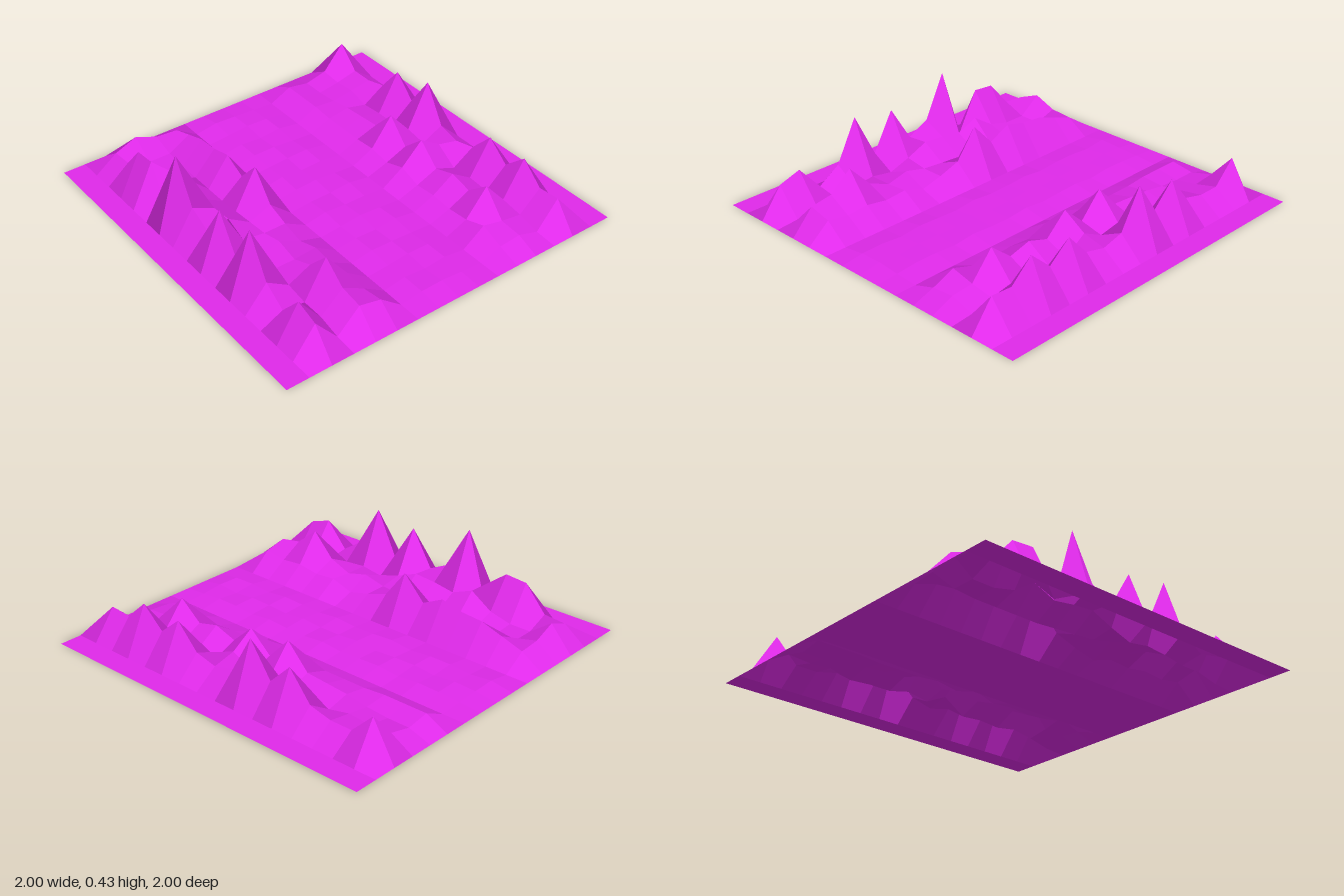
import * as THREE from 'three';

// Ridge heights in hundredths, for the 15 inner grid points from x = -0.875 to 0.875
const ridges = {
  '-0.75': [21, 9, 9, 12, 27, 15, 33, 12, 9, 12, 25, 15, 26, 15, 16],
  '-0.625': [7, 6, 7, 4, 5, 5, 8, 6, 12, 4, 5, 4, 6, 4, 1],
  '-0.5': [4, 4, 5, 7, 8, 9, 22, 9, 20, 9, 13, 10, 20, 6, 5],
  '-0.375': [6, 6, 6, 5, 5, 5, 6, 4, 8, 4, 5, 4, 5, 9, 4],
  '0.375': [8, 12, 16, 17, 20, 14, 27, 11, 7, 4, 8, 7, 9, 8, 10],
  '0.5': [9, 5, 4, 4, 4, 4, 5, 6, 7, 10, 7, 12, 25, 15, 13],
  '0.625': [14, 5, 5, 8, 16, 11, 13, 14, 9, 5, 7, 6, 4, 4, 1],
  '0.75': [9, 10, 24, 25, 3, 43, 19, 13, 33, 12, 37, 14, 6, 20, 16],
};

// Mountain rows rise from the flat border; the valley between is gently uneven
function heightAt(x, z) {
  if (Math.abs(x) > 0.99) return 0;
  const col = Math.round((x + 0.875) * 8);
  const row = ridges[String(Math.round(z * 8) / 8)];
  if (row) return row[col] / 100;
  if (Math.abs(z) < 0.2) return 0.015 + 0.007 * Math.sin(col * 2.3 + z * 17);
  return 0;
}

// Gives both triangles of each grid square one shared normal, so squares read as single facets
function facetSquares(geometry) {
  const { position, normal } = geometry.attributes;
  const point = (i) => new THREE.Vector3().fromBufferAttribute(position, i);
  for (let i = 0; i < position.count; i += 6) {
    const [a, b, d, c] = [i, i + 1, i + 2, i + 4].map(point);
    const n = c.sub(a).cross(d.sub(b)).normalize();
    for (let k = i; k < i + 6; k++) normal.setXYZ(k, n.x, n.y, n.z);
  }
}

export function createModel() {
  const group = new THREE.Group();
  group.name = 'landscape';

  // One 16 x 16 grid sheet, lifted point by point
  const sheet = new THREE.PlaneGeometry(2, 2, 16, 16).rotateX(-Math.PI / 2);
  const pos = sheet.attributes.position;
  for (let i = 0; i < pos.count; i++) {
    pos.setY(i, heightAt(pos.getX(i), pos.getZ(i)));
  }
  const geometry = sheet.toNonIndexed();
  facetSquares(geometry);

  const terrain = new THREE.Mesh(geometry, new THREE.MeshStandardMaterial({
    color: 0xe02aea, side: THREE.DoubleSide,
  }));
  terrain.name = 'terrain';
  group.add(terrain);
  return group;
}
